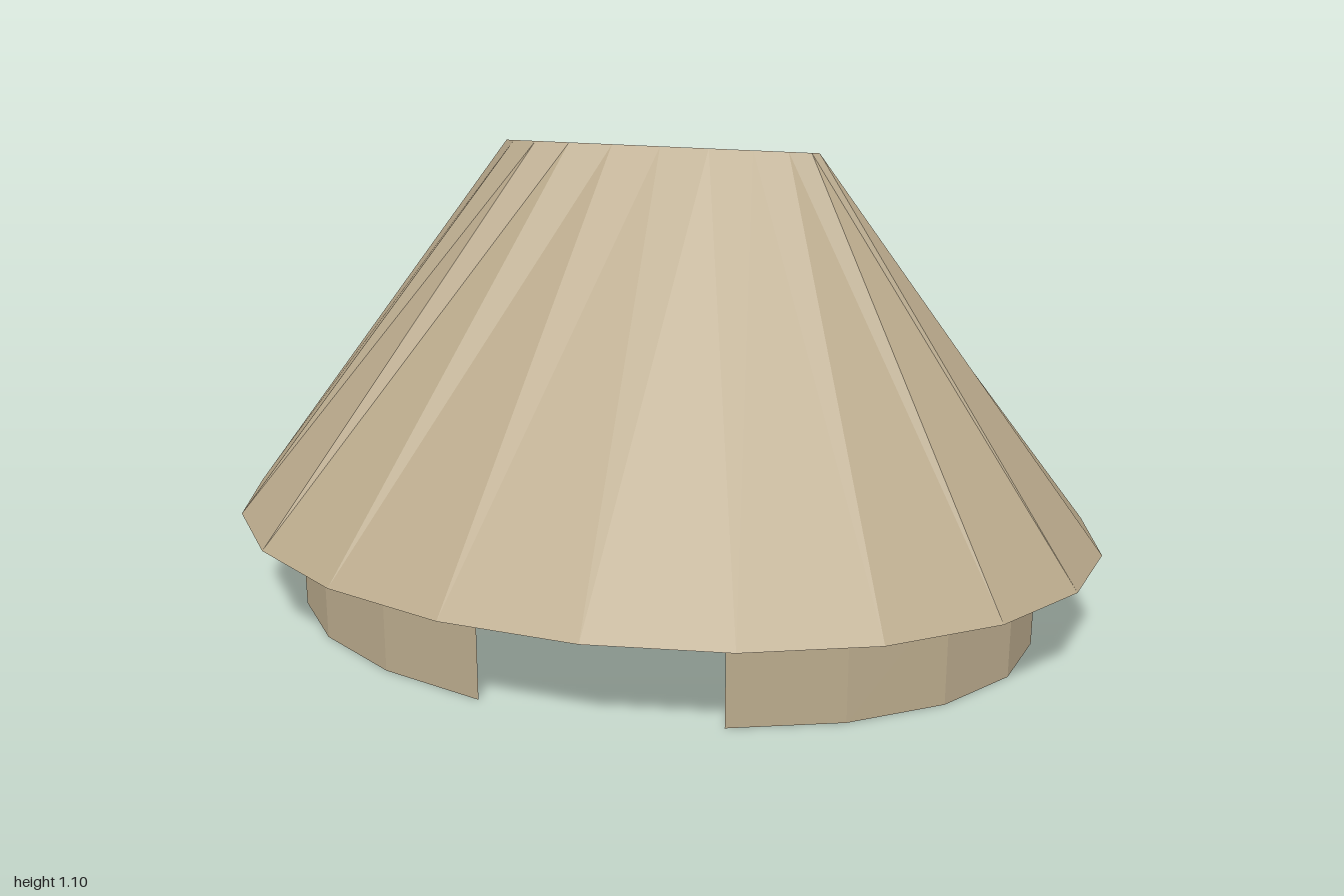
import * as THREE from 'three';

const SIDES = 20;

// Open faceted band between a lower and an upper ellipse, each given as [rx, rz, y].
function ellipseBand(lower, upper, first, count) {
  const positions = [];
  const point = ([rx, rz, y], i) => {
    const a = (i / SIDES) * Math.PI * 2;
    return [rx * Math.cos(a), y, rz * Math.sin(a)];
  };
  for (let i = first; i < first + count; i++) {
    const b0 = point(lower, i), b1 = point(lower, i + 1);
    const t0 = point(upper, i), t1 = point(upper, i + 1);
    positions.push(...b0, ...t0, ...b1, ...b1, ...t0, ...t1);
  }
  const geometry = new THREE.BufferGeometry();
  geometry.setAttribute('position', new THREE.Float32BufferAttribute(positions, 3));
  geometry.computeVertexNormals();
  return geometry;
}

export function createModel() {
  const group = new THREE.Group();
  group.name = 'hut';

  const thatch = new THREE.MeshStandardMaterial({
    color: 0xbaaa8c, flatShading: true, side: THREE.DoubleSide,
  });
  thatch.name = 'thatch';

  // Roof: oval eave narrowing to a straight ridge along x
  const roof = new THREE.Mesh(ellipseBand([1, 0.69, 0.23], [0.35, 0, 1.095], 0, SIDES), thatch);
  roof.name = 'roof';

  // Wall: oval ring with the two front panels left out as the doorway
  const wall = new THREE.Mesh(ellipseBand([0.86, 0.57, 0], [0.86, 0.57, 0.26], 6, SIDES - 2), thatch);
  wall.name = 'wall';

  group.add(roof, wall);
  return group;
}
